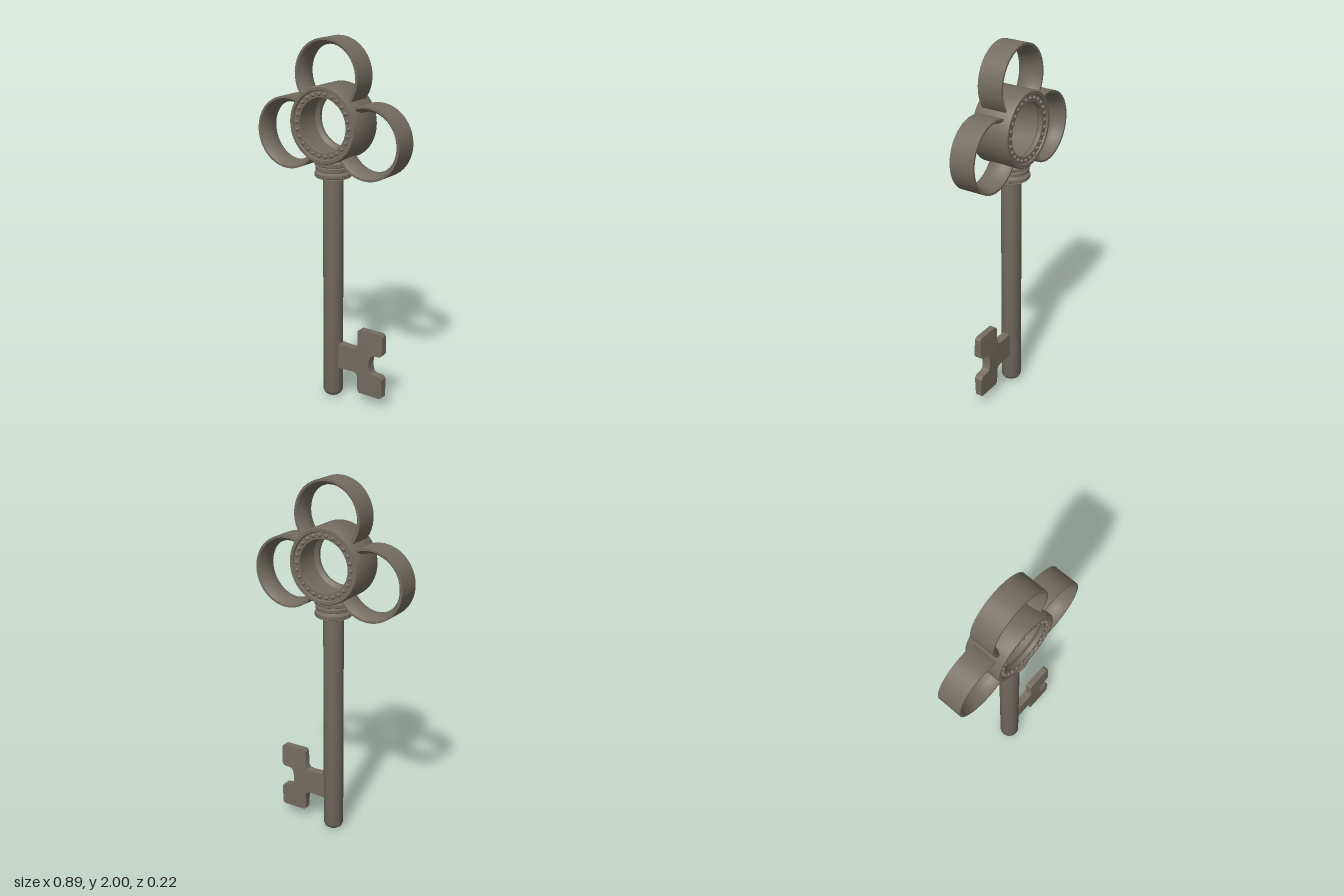
import * as THREE from 'three';
import { toCreasedNormals } from 'three/addons/utils/BufferGeometryUtils.js';

const RING_Y = 1.555;

export function createModel() {
  const key = new THREE.Group();
  key.name = 'key';
  const metal = new THREE.MeshStandardMaterial({ color: 0x736c60 });
  metal.name = 'aged metal';

  const add = (name, geometry, parent = key) => {
    const mesh = new THREE.Mesh(geometry, metal);
    mesh.name = name;
    parent.add(mesh);
    return mesh;
  };
  // Revolved [radius, height] profile with sharp edges kept
  const turned = (profile, segments, start = 0, length = Math.PI * 2) =>
    toCreasedNormals(new THREE.LatheGeometry(
      profile.map(([r, h]) => new THREE.Vector2(r, h)), segments, start, length), 0.7);

  // Shaft with a rounded tip
  add('shaft', turned([[0, 0], [0.035, 0.002], [0.048, 0.012], [0.055, 0.03], [0.055, 1.28]], 24));

  // Collar: three stacked rounded rings
  const collar = [[0.05, 1.265], [0.094, 1.265]];
  for (const [y, r] of [[1.281, 0.1], [1.314, 0.094], [1.343, 0.1]]) {
    collar.push([r - 0.012, y - 0.014], [r, y - 0.008], [r, y + 0.008], [r - 0.012, y + 0.014]);
  }
  collar.push([0.08, 1.37], [0, 1.37]);
  add('collar', turned(collar, 32));

  // Central ring: raised rim, recessed bead track and hollow inner wall
  const half = [[0.205, 0.1], [0.2, 0.108], [0.184, 0.108], [0.18, 0.099], [0.145, 0.099], [0.143, 0.08], [0.16, 0.06]];
  const ringProfile = [
    ...half.map(([r, z]) => [r, -z]).reverse(),
    ...half,
    [half[6][0], -half[6][1]],
  ];
  add('centralRing', turned(ringProfile, 48).rotateX(Math.PI / 2)).position.y = RING_Y;

  // Beads around both faces of the central ring
  const beads = new THREE.Group();
  beads.name = 'beads';
  beads.position.y = RING_Y;
  key.add(beads);
  const beadGeometry = new THREE.SphereGeometry(0.011, 10, 8);
  const count = 26;
  for (const side of [-1, 1]) {
    for (let i = 0; i < count; i++) {
      const a = (i / count) * Math.PI * 2;
      add('bead', beadGeometry, beads).position.set(
        Math.cos(a) * 0.164, Math.sin(a) * 0.164, side * 0.1);
    }
  }

  // Three petal loops, open where they meet the central ring
  const petalProfile = [
    [0.183, -0.07], [0.195, -0.07], [0.195, 0.07], [0.183, 0.07],
    [0.17, 0.052], [0.16, 0.025], [0.157, 0], [0.16, -0.025], [0.17, -0.052], [0.183, -0.07],
  ];
  const gap = 0.77;
  const petalGeometry = turned(petalProfile, 40, gap, Math.PI * 2 - gap * 2).rotateX(Math.PI / 2);
  for (const [name, turn, distance] of [
    ['topPetal', 0, 0.25], ['rightPetal', 1.853, 0.26], ['leftPetal', -1.853, 0.26],
  ]) {
    const petal = add(name, petalGeometry);
    petal.rotation.z = turn;
    petal.position.set(-Math.sin(turn) * distance, RING_Y + Math.cos(turn) * distance, 0);
  }

  // Bit: stem and notched plate, drawn about its own centre line
  const upper = [
    [0.04, 0.075], [0.08, 0.071], [0.14, 0.069], [0.165, 0.073], [0.175, 0.09],
    [0.175, 0.178], [0.188, 0.19], [0.32, 0.19], [0.333, 0.178],
    [0.333, 0.075], [0.32, 0.06], [0.275, 0.056], [0.26, 0.045], [0.253, 0.02],
  ];
  const outline = [...upper, ...upper.map(([x, y]) => [x, -y]).reverse()];
  const shape = new THREE.Shape(outline.map(([x, y]) => new THREE.Vector2(x, y)));
  const bit = new THREE.ExtrudeGeometry(shape, { depth: 2, bevelEnabled: false }).translate(0, 0, -1);
  // The plate thins towards its upper and lower ends
  const p = bit.attributes.position;
  for (let i = 0; i < p.count; i++) {
    p.setZ(i, p.getZ(i) * (0.026 - 0.045 * Math.abs(p.getY(i))));
  }
  add('bit', toCreasedNormals(bit, 0.6)).position.y = 0.248;

  return key;
}
